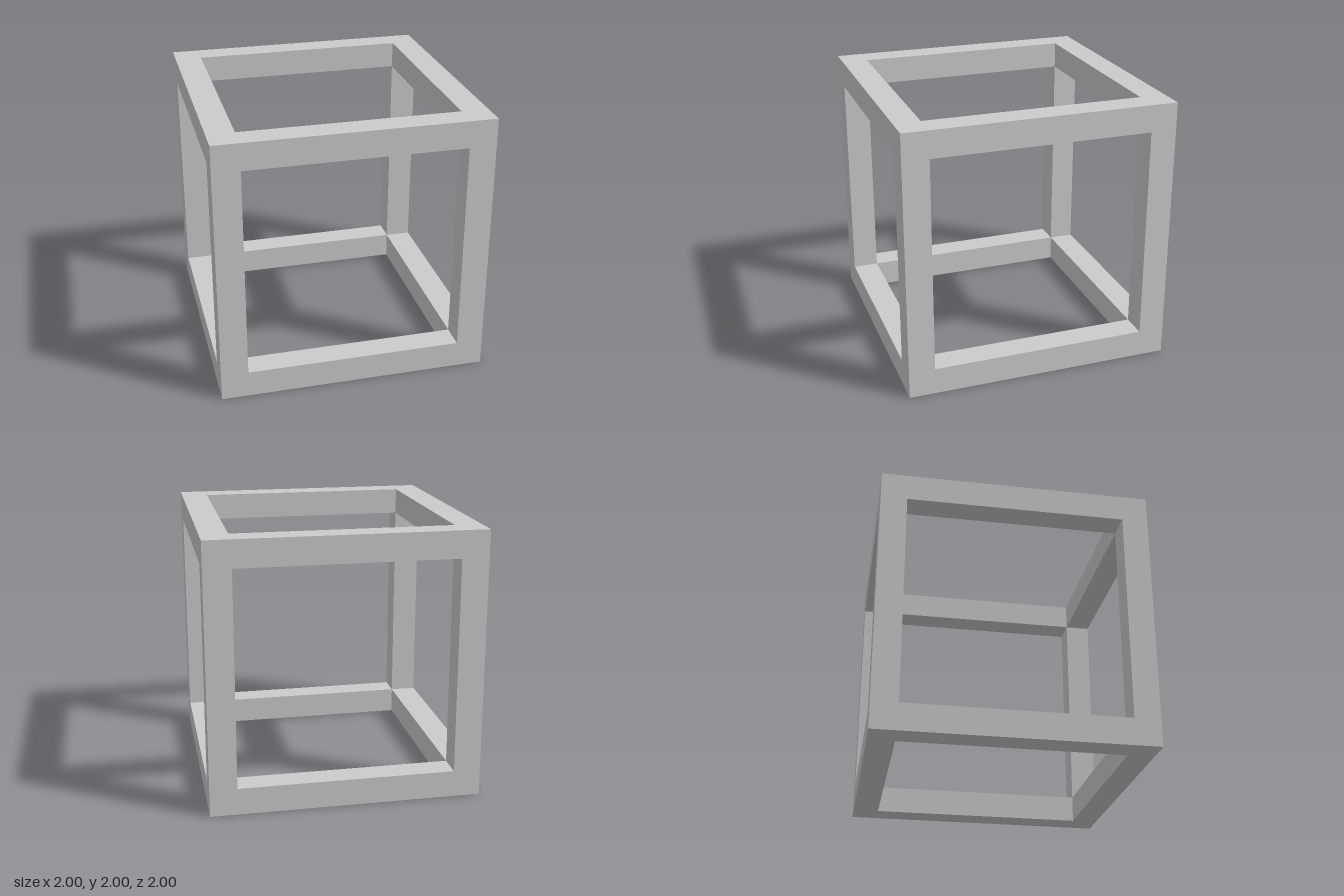
import * as THREE from 'three';

const SIZE = 2;      // outer edge of the cube
const BAR = 0.2;     // bar thickness in x and y
const BAR_Z = 0.193; // bar thickness in z, slightly slimmer

export function createModel() {
  const model = new THREE.Group();
  model.name = 'openCubeFrame';
  const material = new THREE.MeshStandardMaterial({ color: 0xcccccc, flatShading: true });

  const addBar = (name, size, position) => {
    const bar = new THREE.Mesh(new THREE.BoxGeometry(...size), material);
    bar.name = name;
    bar.position.set(...position);
    model.add(bar);
  };

  const x = (SIZE - BAR) / 2;
  const z = (SIZE - BAR_Z) / 2;
  const low = BAR / 2;
  const high = SIZE - BAR / 2;

  // Four full-height corner posts
  for (const [side, sx] of [['Left', 1], ['Right', -1]]) {
    for (const [end, sz] of [['front', 1], ['back', -1]]) {
      addBar(`${end}${side}Post`, [BAR, SIZE, BAR_Z], [sx * x, SIZE / 2, sz * z]);
    }
  }

  // Rails butted between the posts, at the bottom and the top
  for (const [level, y] of [['bottom', low], ['top', high]]) {
    for (const [end, sz] of [['Front', 1], ['Back', -1]]) {
      addBar(`${level}${end}Rail`, [SIZE - 2 * BAR, BAR, BAR_Z], [0, y, sz * z]);
    }
    for (const [side, sx] of [['Left', 1], ['Right', -1]]) {
      addBar(`${level}${side}Rail`, [BAR, BAR, SIZE - 2 * BAR_Z], [sx * x, y, 0]);
    }
  }

  return model;
}
